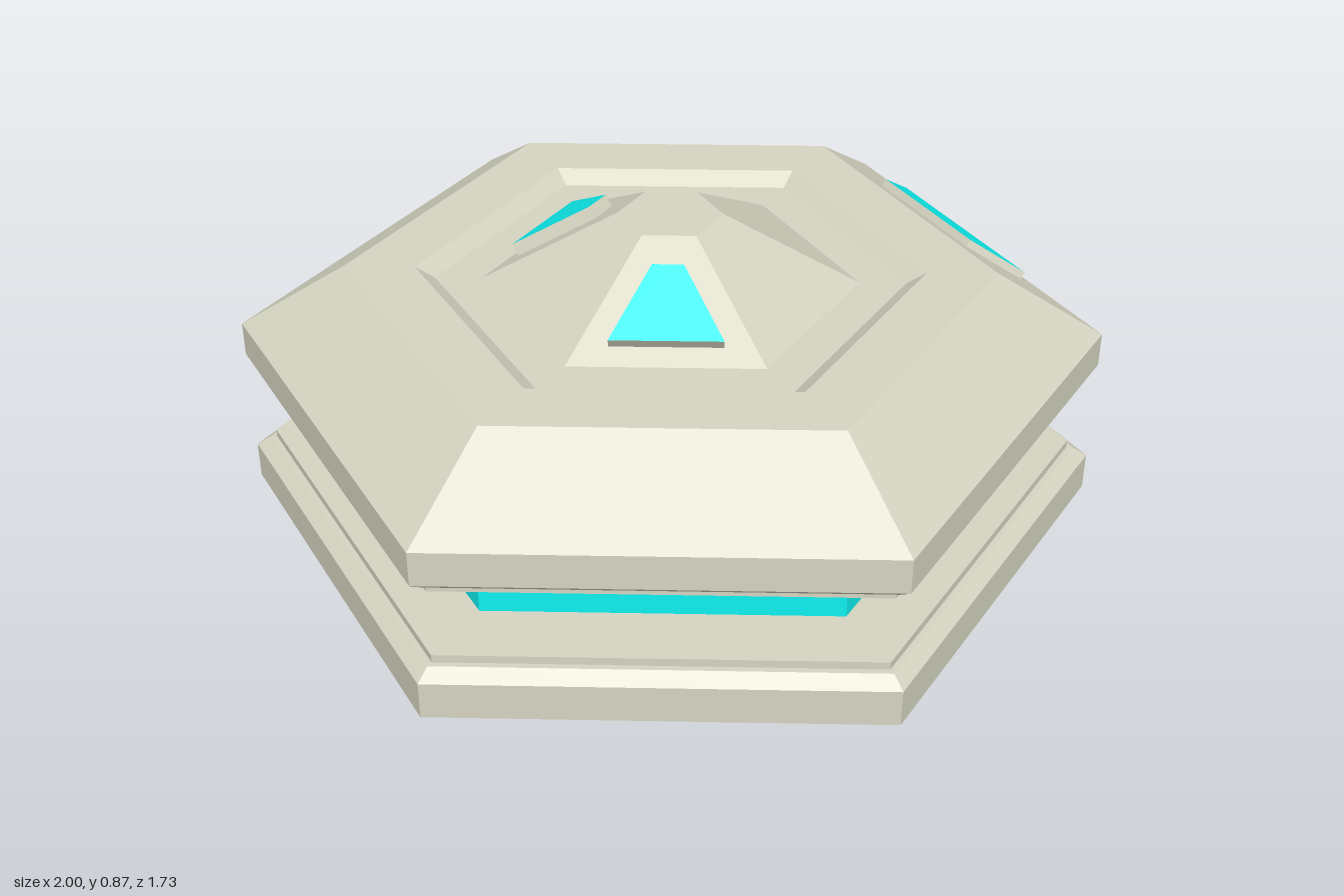
import * as THREE from 'three';

const shell = new THREE.MeshStandardMaterial({ color: 0xd6d5c2, flatShading: true });
const glow = new THREE.MeshStandardMaterial({ color: 0x0ff0f0, flatShading: true });

// Six-sided solid of revolution with corners on the x axis; profile runs [radius, y] upwards
function hexBody(name, profile, material) {
  const points = profile.map(([r, y]) => new THREE.Vector2(r, y));
  const mesh = new THREE.Mesh(new THREE.LatheGeometry(points, 6, Math.PI / 6), material);
  mesh.name = name;
  return mesh;
}

// Trapezoid slab lying on a sloped facet: lower edge at (z, y), leaning back by slope,
// then turned about the y axis to the chosen facet
function slopedPanel(name, { bottom, top, length, thickness, z, y, slope, turn }) {
  const shape = new THREE.Shape([
    new THREE.Vector2(-bottom, 0), new THREE.Vector2(bottom, 0),
    new THREE.Vector2(top, length), new THREE.Vector2(-top, length),
  ]);
  const geometry = new THREE.ExtrudeGeometry(shape, { depth: thickness, bevelEnabled: false });
  geometry.rotateX(Math.atan(slope) - Math.PI / 2);
  geometry.translate(0, y, z);
  const mesh = new THREE.Mesh(geometry, [glow, shell]);
  mesh.rotation.y = THREE.MathUtils.degToRad(turn);
  mesh.name = name;
  return mesh;
}

export function createModel() {
  const model = new THREE.Group();
  model.name = 'hexagonalSaucer';

  // Lower hull with stepped rim
  model.add(hexBody('lowerHull', [
    [0, 0], [0.565, 0], [1, 0.14], [1, 0.23], [0.965, 0.253],
    [0.95, 0.253], [0.95, 0.272], [0, 0.272],
  ], shell));

  // Glowing band between the hulls
  model.add(hexBody('glowingCore', [[0.78, 0.27], [0.78, 0.442]], glow));

  // Upper hull with a shallow recess around the dome
  model.add(hexBody('upperHull', [
    [0, 0.44], [0.95, 0.44], [0.95, 0.46], [0.965, 0.46], [1, 0.487], [1, 0.57],
    [0.748, 0.728], [0.585, 0.728], [0.54, 0.7], [0.433, 0.7], [0.12, 0.873], [0, 0.873],
  ], shell));

  // Small windows on two dome facets
  const domeWindow = {
    bottom: 0.125, top: 0.035, length: 0.185, thickness: 0.03, z: 0.335, y: 0.727, slope: 0.64,
  };
  model.add(slopedPanel('frontDomeWindow', { ...domeWindow, turn: 0 }));
  model.add(slopedPanel('rearDomeWindow', { ...domeWindow, turn: -120 }));

  // Wide window on one upper hull facet
  model.add(slopedPanel('hullWindow', {
    bottom: 0.25, top: 0.18, length: 0.143, thickness: 0.018,
    z: 0.816, y: 0.606, slope: 0.73, turn: 120,
  }));

  return model;
}
